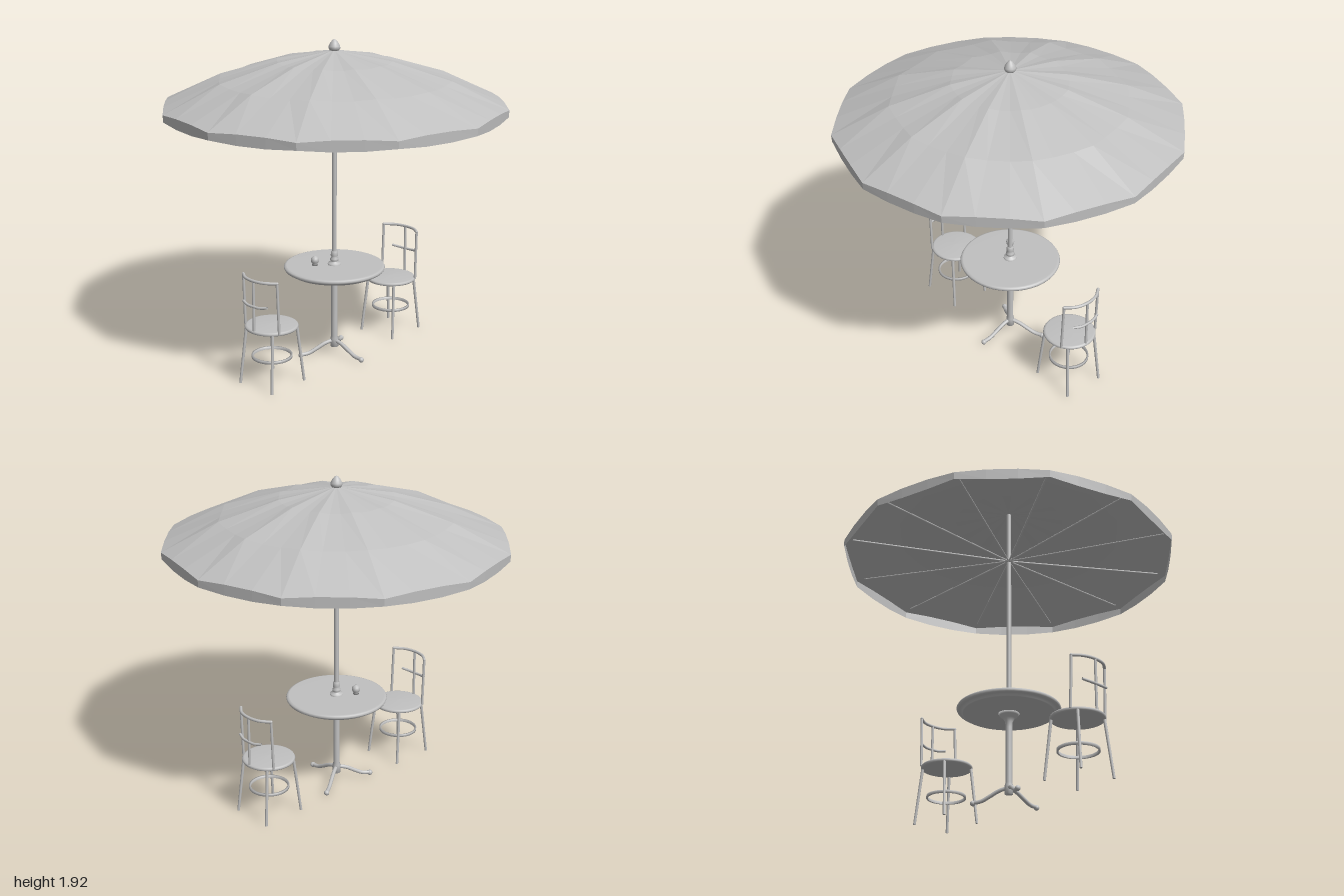
import * as THREE from 'three';

const grey = new THREE.MeshStandardMaterial({ color: 0xc0c0c0, side: THREE.DoubleSide });
grey.name = 'light grey';

const V = (x, y, z) => new THREE.Vector3(x, y, z);

function add(parent, name, geometry) {
  const mesh = new THREE.Mesh(geometry, grey);
  mesh.name = name;
  parent.add(mesh);
  return mesh;
}

// Straight round bar between two points
function bar(parent, name, a, b, r0, r1 = r0, sides = 10) {
  const d = b.clone().sub(a);
  const mesh = add(parent, name, new THREE.CylinderGeometry(r1, r0, d.length(), sides));
  mesh.position.copy(a).addScaledVector(d, 0.5);
  mesh.quaternion.setFromUnitVectors(V(0, 1, 0), d.normalize());
  return mesh;
}

function tube(parent, name, points, r, segments = 20) {
  return add(parent, name, new THREE.TubeGeometry(new THREE.CatmullRomCurve3(points), segments, r, 8));
}

function lathe(parent, name, profile, sides = 32) {
  return add(parent, name, new THREE.LatheGeometry(profile.map(p => new THREE.Vector2(...p)), sides));
}

// Faceted skin through closed rings of points
function skin(rings) {
  const pos = [];
  for (let i = 0; i + 1 < rings.length; i++) {
    const a = rings[i], b = rings[i + 1], n = a.length;
    for (let j = 0; j < n; j++) {
      const k = (j + 1) % n;
      for (const p of [a[j], b[j], b[k], a[j], b[k], a[k]]) pos.push(p.x, p.y, p.z);
    }
  }
  const g = new THREE.BufferGeometry();
  g.setAttribute('position', new THREE.Float32BufferAttribute(pos, 3));
  g.computeVertexNormals();
  return g;
}

// Twelve-panel ring: straight chords between ribs, raised or lowered mid-panel
function panelRing(r, y, lift) {
  const ring = [], corner = i => V(r * Math.sin(i * Math.PI / 6), y, r * Math.cos(i * Math.PI / 6));
  for (let i = 0; i < 12; i++) {
    for (let s = 0; s < 3; s++) {
      const p = corner(i).lerp(corner(i + 1), s / 3);
      if (s) {
        p.y += lift;
        p.x *= 1.006;
        p.z *= 1.006;
      }
      ring.push(p);
    }
  }
  return ring;
}

function makeParasol() {
  const g = new THREE.Group();
  g.name = 'parasol';
  const rim = panelRing(1, 1.553, 0.01);
  add(g, 'canopy', skin([
    panelRing(0.012, 1.862, 0), panelRing(0.335, 1.807, -0.008), panelRing(0.675, 1.705, -0.008), rim,
  ]));
  add(g, 'valance', skin([rim, panelRing(0.998, 1.512, -0.01)]));
  bar(g, 'pole', V(0, 0.56, 0), V(0, 1.865, 0), 0.014, 0.014, 16);
  lathe(g, 'finial', [[0, 1.926], [0.012, 1.919], [0.024, 1.903], [0.033, 1.885], [0.034, 1.873], [0.027, 1.861], [0, 1.855]], 20);
  // Spreading ribs and their hub
  lathe(g, 'ribHub', [[0, 1.55], [0.022, 1.545], [0.022, 1.525], [0, 1.518]], 16);
  for (let i = 0; i < 12; i++) {
    const a = i * Math.PI / 6;
    bar(g, 'rib', V(0, 1.533, 0), V(0.95 * Math.sin(a), 1.56, 0.95 * Math.cos(a)), 0.005, 0.005, 6);
  }
  return g;
}

function makeTable() {
  const g = new THREE.Group();
  g.name = 'table';
  lathe(g, 'tableTop', [
    [0, 0.577], [0.285, 0.577], [0.297, 0.573], [0.302, 0.564], [0.297, 0.554], [0.285, 0.55],
    [0.272, 0.549], [0.27, 0.538], [0.262, 0.536], [0, 0.536],
  ], 48);
  lathe(g, 'column', [
    [0, 0.537], [0.062, 0.537], [0.055, 0.523], [0.034, 0.507], [0.022, 0.485], [0.019, 0.45],
    [0.019, 0.12], [0.024, 0.105], [0.024, 0.053], [0, 0.053],
  ], 24);
  lathe(g, 'poleCollar', [
    [0.014, 0.66], [0.021, 0.657], [0.022, 0.632], [0.017, 0.625], [0.025, 0.615], [0.025, 0.602],
    [0.018, 0.594], [0.038, 0.588], [0.04, 0.577],
  ], 20);
  // Three curved feet
  for (let i = 0; i < 3; i++) {
    const foot = new THREE.Group();
    foot.name = 'foot';
    foot.rotation.y = i * Math.PI * 2 / 3;
    tube(foot, 'footArm', [V(0, 0.09, 0.015), V(0, 0.078, 0.06), V(0, 0.05, 0.115), V(0, 0.027, 0.165), V(0, 0.022, 0.215)], 0.012);
    const pad = add(foot, 'footPad', new THREE.SphereGeometry(0.016, 14, 10));
    pad.position.set(0, 0.02, 0.213);
    g.add(foot);
  }
  // Small pot standing on the table
  const pot = lathe(g, 'pot', [
    [0, 0.635], [0.013, 0.631], [0.022, 0.622], [0.025, 0.609], [0.022, 0.596], [0.015, 0.588], [0.018, 0.577], [0, 0.577],
  ], 18);
  pot.position.set(-0.09, 0, -0.075);
  return g;
}

// Chair with its back toward -x
function makeChair() {
  const g = new THREE.Group();
  g.name = 'chair';
  lathe(g, 'seat', [
    [0, 0.366], [0.07, 0.364], [0.14, 0.36], [0.15, 0.357], [0.155, 0.349], [0.15, 0.341], [0.14, 0.338], [0, 0.338],
  ], 36);
  for (const sx of [-1, 1]) {
    for (const sz of [-1, 1]) {
      bar(g, 'leg', V(sx * 0.135, 0.003, sz * 0.125), V(sx * 0.1, 0.345, sz * 0.103), 0.008, 0.009);
    }
  }
  // Flat foot ring
  lathe(g, 'footRing', [[0.108, 0.158], [0.118, 0.158], [0.118, 0.174], [0.108, 0.174], [0.108, 0.158]], 32);
  // Back: two side posts, a centre post, a bowed top rail and a short crossbar
  for (const sz of [-1, 1]) {
    bar(g, 'sidePost', V(-0.077, 0.35, sz * 0.133), V(-0.088, 0.655, sz * 0.131), 0.008);
    const corner = add(g, 'railCorner', new THREE.SphereGeometry(0.009, 10, 8));
    corner.position.set(-0.088, 0.655, sz * 0.131);
  }
  bar(g, 'centrePost', V(-0.142, 0.35, 0), V(-0.142, 0.655, 0), 0.008);
  tube(g, 'topRail', [V(-0.088, 0.655, -0.131), V(-0.128, 0.655, -0.075), V(-0.142, 0.655, 0), V(-0.128, 0.655, 0.075), V(-0.088, 0.655, 0.131)], 0.009);
  tube(g, 'crossbar', [V(-0.13, 0.514, -0.093), V(-0.145, 0.506, -0.045), V(-0.147, 0.505, 0), V(-0.145, 0.506, 0.045), V(-0.13, 0.514, 0.093)], 0.008);
  return g;
}

export function createModel() {
  const model = new THREE.Group();
  model.name = 'patioSet';
  const right = makeChair();
  right.name = 'rightChair';
  right.position.x = -0.545;
  const left = makeChair();
  left.name = 'leftChair';
  left.position.x = 0.545;
  left.rotation.y = Math.PI;
  model.add(makeParasol(), makeTable(), right, left);
  return model;
}
